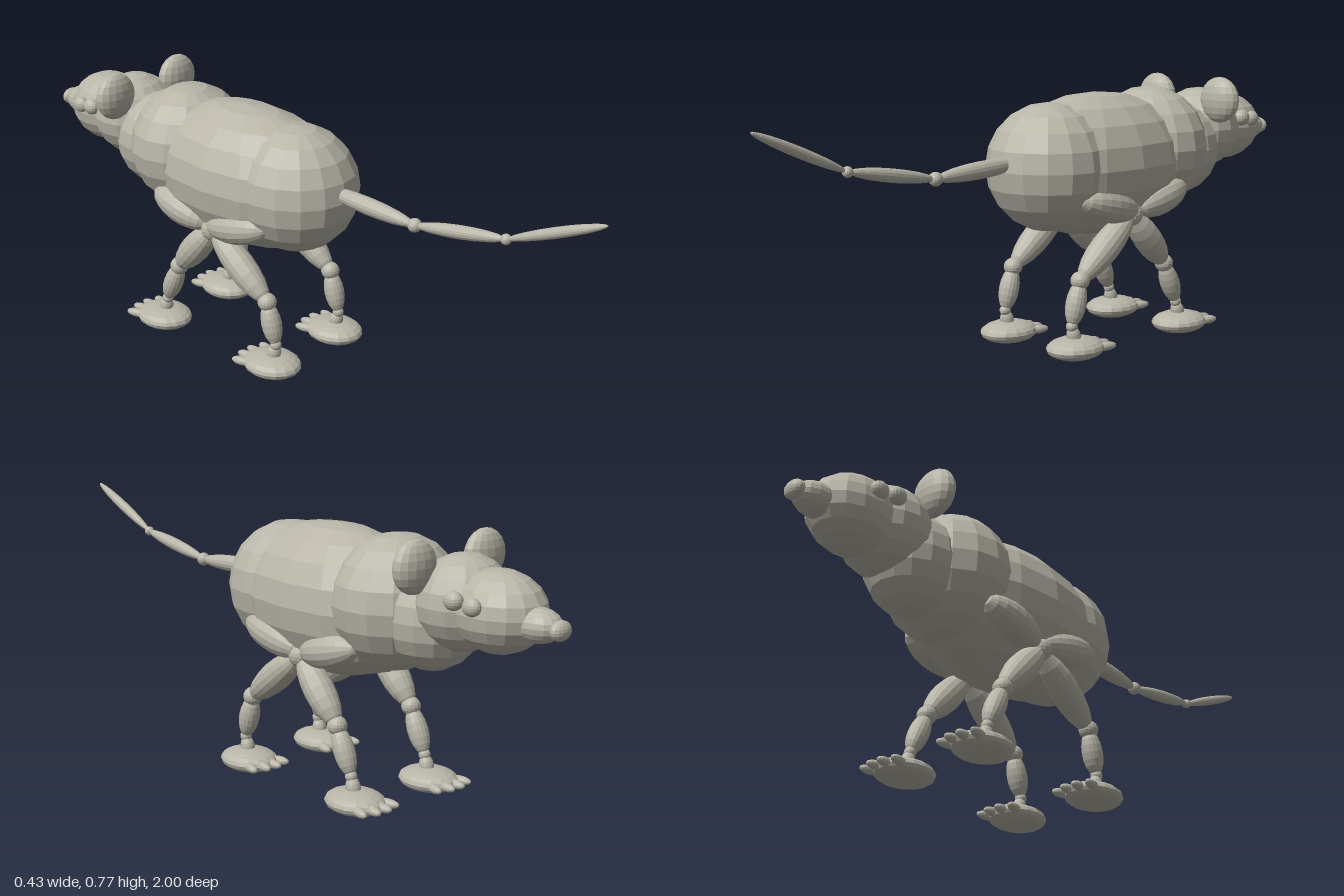
import * as THREE from 'three';

export function createModel() {
  const model = new THREE.Group();
  model.name = 'rodent';
  const fur = new THREE.MeshStandardMaterial({ color: 0xb8b5a8, flatShading: true });
  fur.name = 'grey fur';
  const ball = new THREE.SphereGeometry(1, 16, 10);
  const UP = new THREE.Vector3(0, 1, 0);

  // Ellipsoid from its centre and radii
  function blob(name, centre, radii, parent = model) {
    const mesh = new THREE.Mesh(ball, fur);
    mesh.name = name;
    mesh.position.set(...centre);
    mesh.scale.set(...radii);
    parent.add(mesh);
    return mesh;
  }

  // Ellipsoid stretched between two points
  function limb(name, from, to, radius, parent = model) {
    const a = new THREE.Vector3(...from), b = new THREE.Vector3(...to);
    const mid = a.clone().add(b).multiplyScalar(0.5);
    const mesh = blob(name, mid.toArray(), [radius, a.distanceTo(b) / 2, radius], parent);
    mesh.quaternion.setFromUnitVectors(UP, b.sub(a).normalize());
    return mesh;
  }

  // Body, from rump to nose
  blob('rump', [0, 0.54, 0], [0.182, 0.187, 0.185]);
  blob('torso', [0, 0.535, -0.19], [0.199, 0.211, 0.365]);
  blob('shoulders', [0, 0.565, -0.43], [0.19, 0.185, 0.17]);
  blob('neck', [0, 0.55, -0.56], [0.135, 0.145, 0.14]);
  blob('head', [0, 0.605, -0.67], [0.133, 0.127, 0.125]);
  blob('muzzle', [0, 0.602, -0.785], [0.113, 0.107, 0.135]);
  blob('snout', [0, 0.59, -0.91], [0.052, 0.045, 0.07]);
  blob('nose', [0, 0.588, -0.98], [0.034, 0.026, 0.02]);

  // Tail: segments with a small joint between each
  const tail = [[0, 0.565, 0.1], [0, 0.547, 0.425], [0, 0.595, 0.715], [0, 0.718, 1]];
  const tailRadii = [0.025, 0.019, 0.015];
  tailRadii.forEach((r, i) => limb('tailSegment', tail[i], tail[i + 1], r));
  blob('tailJoint', tail[1], [0.02, 0.02, 0.02]);
  blob('tailJoint', tail[2], [0.015, 0.015, 0.015]);

  // One leg: haunch, hip, upper leg, knee, shank, ankle, foot and toes
  function leg(name, s, haunchZ, kneeZ, ankleZ, footZ) {
    const g = new THREE.Group();
    g.name = name;
    model.add(g);
    const x = s * 0.139;
    const hip = [x, 0.395, -0.2], knee = [x, 0.228, kneeZ], ankle = [x, 0.1, ankleZ];
    limb('haunch', [s * 0.145, 0.458, haunchZ], [s * 0.145, 0.405, -0.215], 0.05, g);
    blob('hip', hip, [0.036, 0.036, 0.036], g);
    limb('upperLeg', hip, knee, 0.043, g);
    blob('knee', knee, [0.028, 0.027, 0.028], g);
    limb('shank', knee, ankle, 0.03, g);
    blob('ankle', ankle, [0.017, 0.017, 0.017], g);
    limb('heel', ankle, [x, 0.04, footZ], 0.021, g);
    blob('foot', [x, 0.035, footZ], [0.078, 0.033, 0.092], g);
    for (let i = 0; i < 4; i++) {
      const t = (i - 1.5) / 1.5;
      const toe = blob('toe', [x + t * 0.052, 0.036, footZ - 0.09 + Math.abs(t) * 0.018],
        [0.014, 0.013, 0.034], g);
      toe.rotation.y = -t * 0.25;
    }
  }

  for (const s of [-1, 1]) {
    // Ears and paired eyes
    blob('ear', [s * 0.127, 0.702, -0.617], [0.07, 0.071, 0.037]);
    blob('rearEye', [s * 0.118, 0.637, -0.742], [0.022, 0.025, 0.028]);
    blob('frontEye', [s * 0.113, 0.63, -0.798], [0.02, 0.024, 0.027]);
    leg('hindLeg', s, 0.02, 0.012, 0.045, 0.03);
    leg('foreLeg', s, -0.43, -0.35, -0.407, -0.425);
  }
  return model;
}
